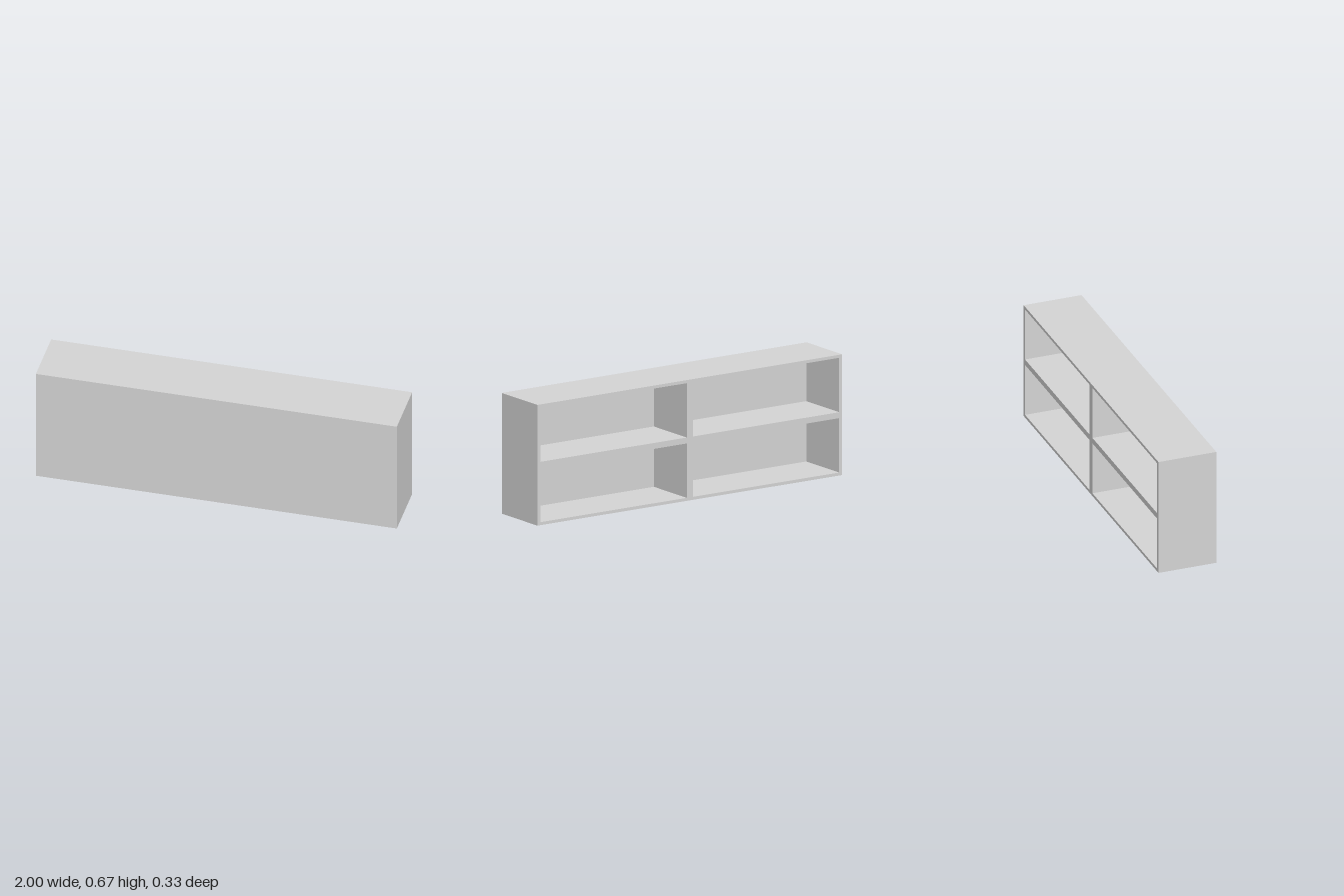
import * as THREE from 'three';

// Overall size and board thicknesses
const W = 2, H = 0.667, D = 0.333;
const SIDE = 0.02, EDGE = 0.0167, SHELF = 0.033, DIVIDER = 0.04, PANEL = 0.026;

export function createModel() {
  const group = new THREE.Group();
  group.name = 'shelfUnit';
  const grey = new THREE.MeshStandardMaterial({ color: 0xd4d4d4 });
  grey.name = 'lightGrey';

  // Carcass: frame outline with a grid of four openings, running front to back
  const frame = new THREE.Shape([
    new THREE.Vector2(-W / 2, 0), new THREE.Vector2(W / 2, 0),
    new THREE.Vector2(W / 2, H), new THREE.Vector2(-W / 2, H),
  ]);
  const cellW = (W - 2 * SIDE - DIVIDER) / 2;
  const cellH = (H - 2 * EDGE - SHELF) / 2;
  for (let col = 0; col < 2; col++) {
    for (let row = 0; row < 2; row++) {
      const x = -W / 2 + SIDE + col * (cellW + DIVIDER);
      const y = EDGE + row * (cellH + SHELF);
      frame.holes.push(new THREE.Path([
        new THREE.Vector2(x, y), new THREE.Vector2(x, y + cellH),
        new THREE.Vector2(x + cellW, y + cellH), new THREE.Vector2(x + cellW, y),
      ]));
    }
  }
  const carcass = new THREE.Mesh(
    new THREE.ExtrudeGeometry(frame, { depth: D - PANEL, bevelEnabled: false }), grey);
  carcass.name = 'carcass';
  carcass.position.z = -D / 2;
  group.add(carcass);

  // Solid panel closing the front
  const panel = new THREE.Mesh(new THREE.BoxGeometry(W, H, PANEL), grey);
  panel.name = 'frontPanel';
  panel.position.set(0, H / 2, D / 2 - PANEL / 2);
  group.add(panel);

  return group;
}
